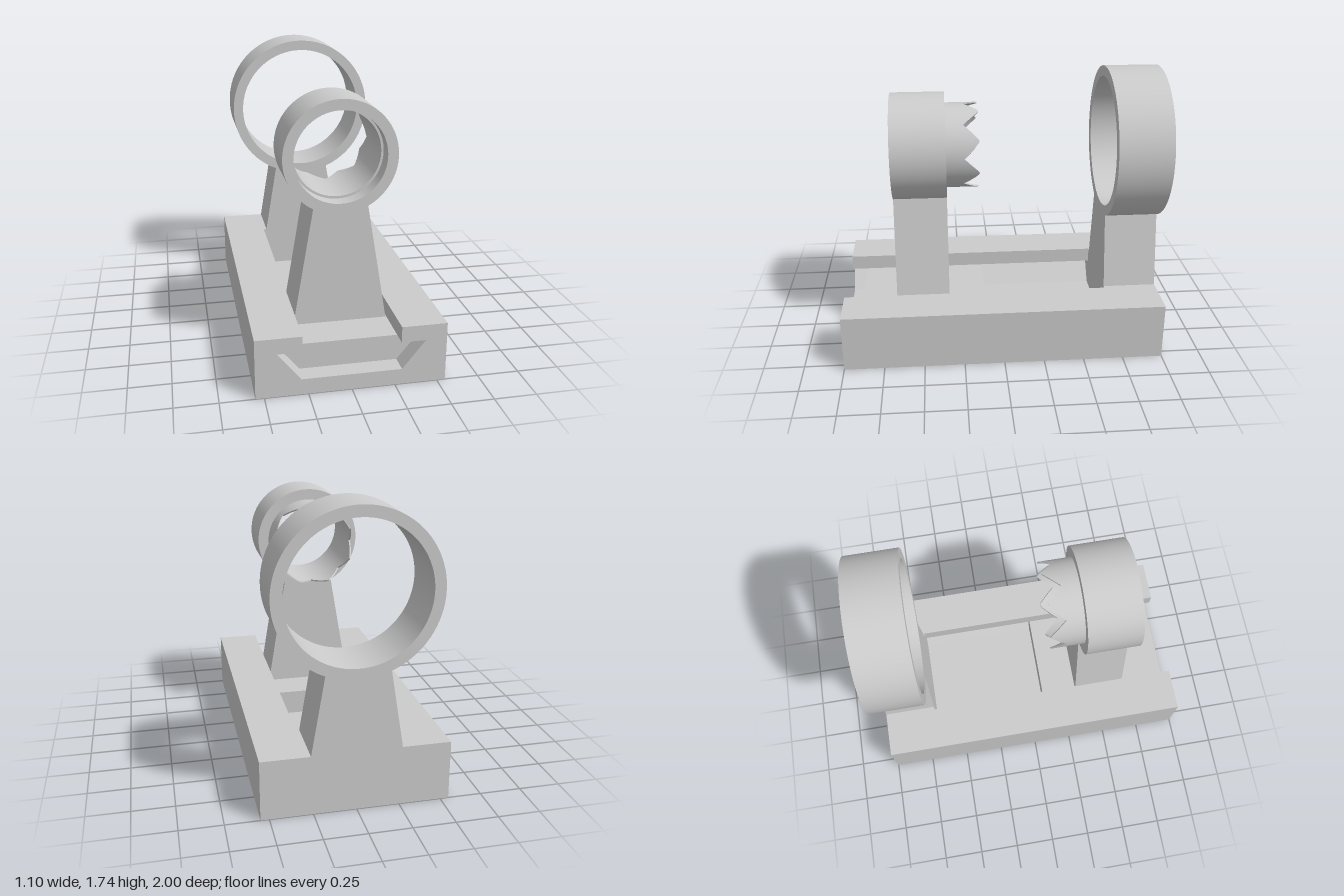
import * as THREE from 'three';
import { toCreasedNormals } from 'three/addons/utils/BufferGeometryUtils.js';

const material = new THREE.MeshStandardMaterial({ color: 0xcccccc });
const AXIS_Y = 1.265; // height of the common ring axis
const BASE = { w: 0.55, h: 0.36 };

// Half width of the tapering posts at height y
const postHalf = (y) => 0.28 - (y - 0.26) * 0.168;

function mesh(name, geometry) {
  const m = new THREE.Mesh(toCreasedNormals(geometry, 0.5), material);
  m.name = name;
  return m;
}

// Extrude an outline along z from z0 to z1
function slab(name, shape, z0, z1) {
  const g = new THREE.ExtrudeGeometry(shape, { depth: z1 - z0, bevelEnabled: false, curveSegments: 80 });
  return mesh(name, g.translate(0, 0, z0));
}

const polygon = (pts) => new THREE.Shape(pts.map(([x, y]) => new THREE.Vector2(x, y)));

// Outline of a ring standing on a tapered post; foot lists the points from left to right below the post
function ringOnPost(foot, outer, inner) {
  let y = AXIS_Y - outer;
  for (let i = 0; i < 20; i++) y = AXIS_Y - Math.sqrt(outer ** 2 - postHalf(y) ** 2);
  const a = Math.atan2(y - AXIS_Y, postHalf(y));
  const shape = polygon(foot);
  shape.lineTo(postHalf(y), y);
  shape.absarc(0, AXIS_Y, outer, a, Math.PI - a, false);
  shape.closePath();
  const hole = new THREE.Path();
  hole.absarc(0, AXIS_Y, inner, 0, Math.PI * 2, true);
  shape.holes.push(hole);
  return shape;
}

// Thin tube with eight V-shaped notches cut into its rear end
function crownTube() {
  const outer = 0.265, inner = 0.256, front = -0.57, tip = -0.13, valley = -0.225;
  const profile = [[outer, front], [outer, tip], [inner, tip], [inner, front], [outer, front]];
  const g = new THREE.LatheGeometry(profile.map(([r, h]) => new THREE.Vector2(r, h)), 128);
  const p = g.attributes.position;
  const step = Math.PI / 4;
  for (let i = 0; i < p.count; i++) {
    if (p.getY(i) < tip - 0.01) continue;
    const angle = Math.atan2(p.getZ(i), p.getX(i));
    const off = Math.abs(angle - Math.round(angle / step) * step);
    const side = Math.hypot(p.getX(i), p.getZ(i)) * Math.sin(off);
    p.setY(i, Math.min(tip, valley + side));
  }
  g.rotateX(-Math.PI / 2).translate(0, AXIS_Y, 0);
  return mesh('crownTube', g);
}

export function createModel() {
  const model = new THREE.Group();
  model.name = 'ringStand';
  const { w, h } = BASE;

  // Base with dovetail slot, open at the front
  const slot = [[0.283, h], [0.283, 0.265], [0.425, 0.265], [0.29, 0.095]];
  const mirrored = slot.map(([x, y]) => [-x, y]).reverse();
  model.add(slab('slottedBase', polygon([[-w, 0], [w, 0], [w, h], ...slot, ...mirrored, [-w, h]]), -0.667, 1));

  // Solid rear end of the base with its post and large ring
  const rearFoot = [[-postHalf(h), h], [-w, h], [-w, 0], [w, 0], [w, h], [postHalf(h), h]];
  model.add(slab('rearRingPost', ringOnPost(rearFoot, 0.475, 0.41), -1, -0.667));

  // Sliding carriage
  const carriage = new THREE.Group();
  carriage.name = 'carriage';
  carriage.add(slab('dovetailSlider',
    polygon([[-0.285, 0.104], [0.285, 0.104], [0.413, 0.26], [-0.413, 0.26]]), 0.1, 0.9));
  carriage.add(slab('frontRingPost',
    ringOnPost([[-0.28, 0.26], [0.28, 0.26]], 0.333, 0.27), 0.333, 0.667));
  carriage.add(crownTube());
  // Narrow seat holding the crown tube inside the ring
  const seat = new THREE.Shape().absarc(0, AXIS_Y, 0.271, 0, Math.PI * 2, false);
  const bore = new THREE.Path().absarc(0, AXIS_Y, 0.262, 0, Math.PI * 2, true);
  seat.holes.push(bore);
  carriage.add(slab('tubeSeat', seat, 0.335, 0.57));
  model.add(carriage);
  return model;
}
